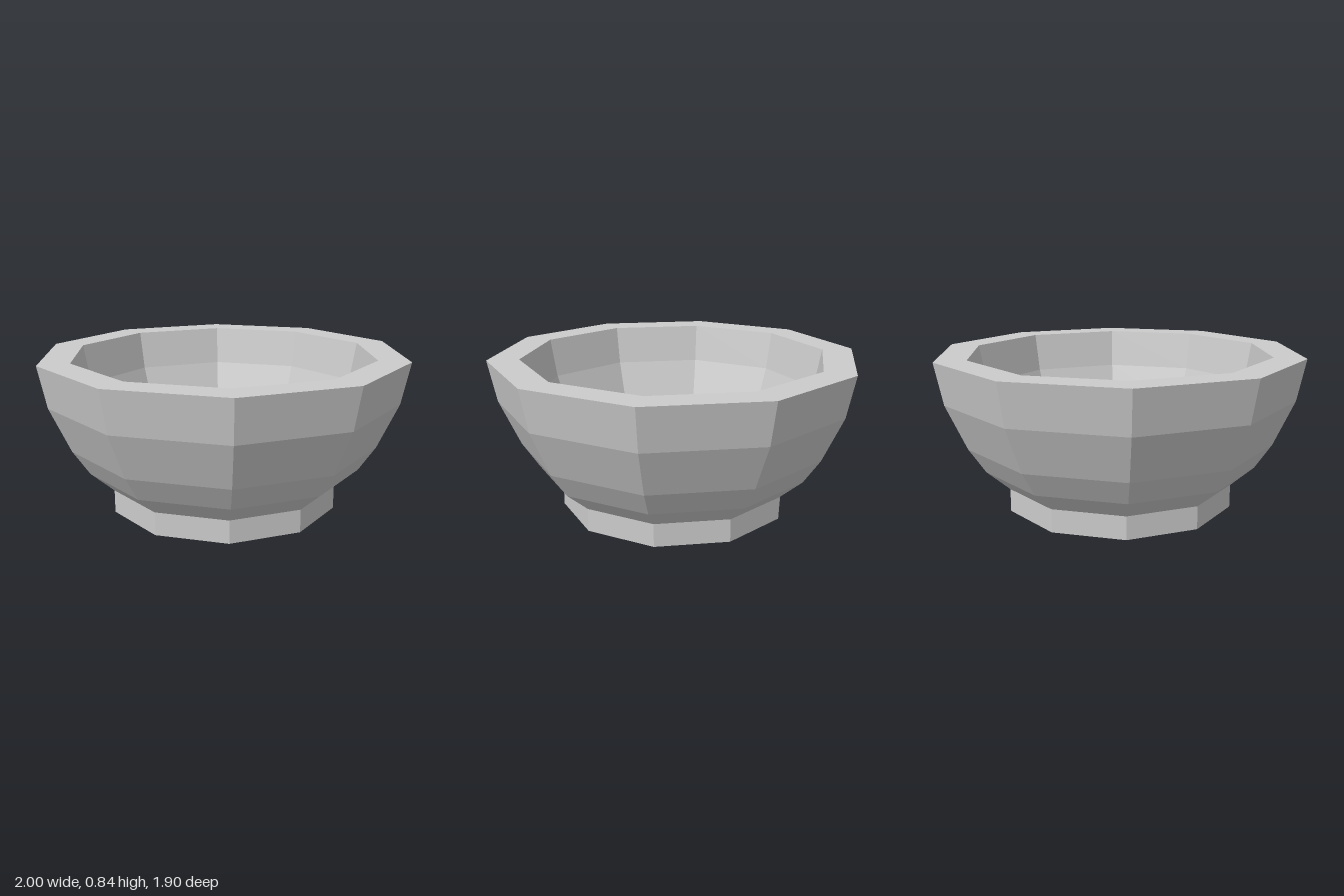
import * as THREE from 'three';

const SIDES = 10;

// Ten-sided revolved part with a corner on the x axis; [radius, height] points run up the outside.
function turned(name, points, material) {
  const profile = points.map(([r, y]) => new THREE.Vector2(r, y));
  const mesh = new THREE.Mesh(new THREE.LatheGeometry(profile, SIDES, Math.PI / 2), material);
  mesh.name = name;
  return mesh;
}

export function createModel() {
  const group = new THREE.Group();
  group.name = 'bowl';
  const material = new THREE.MeshStandardMaterial({ color: 0xcccccc, flatShading: true });

  // Straight foot with a closed underside
  group.add(turned('foot', [[0, 0], [0.63, 0], [0.63, 0.125]], material));

  // Bowl: outer wall up, flat rim, inner wall down to the flat floor
  group.add(turned('bowlBody', [
    [0.63, 0.125], [0.755, 0.235], [0.845, 0.37], [0.955, 0.615], [1, 0.84],
    [0.83, 0.84], [0.79, 0.625], [0.71, 0.39], [0.63, 0.245], [0.52, 0.14], [0, 0.14],
  ], material));

  return group;
}
